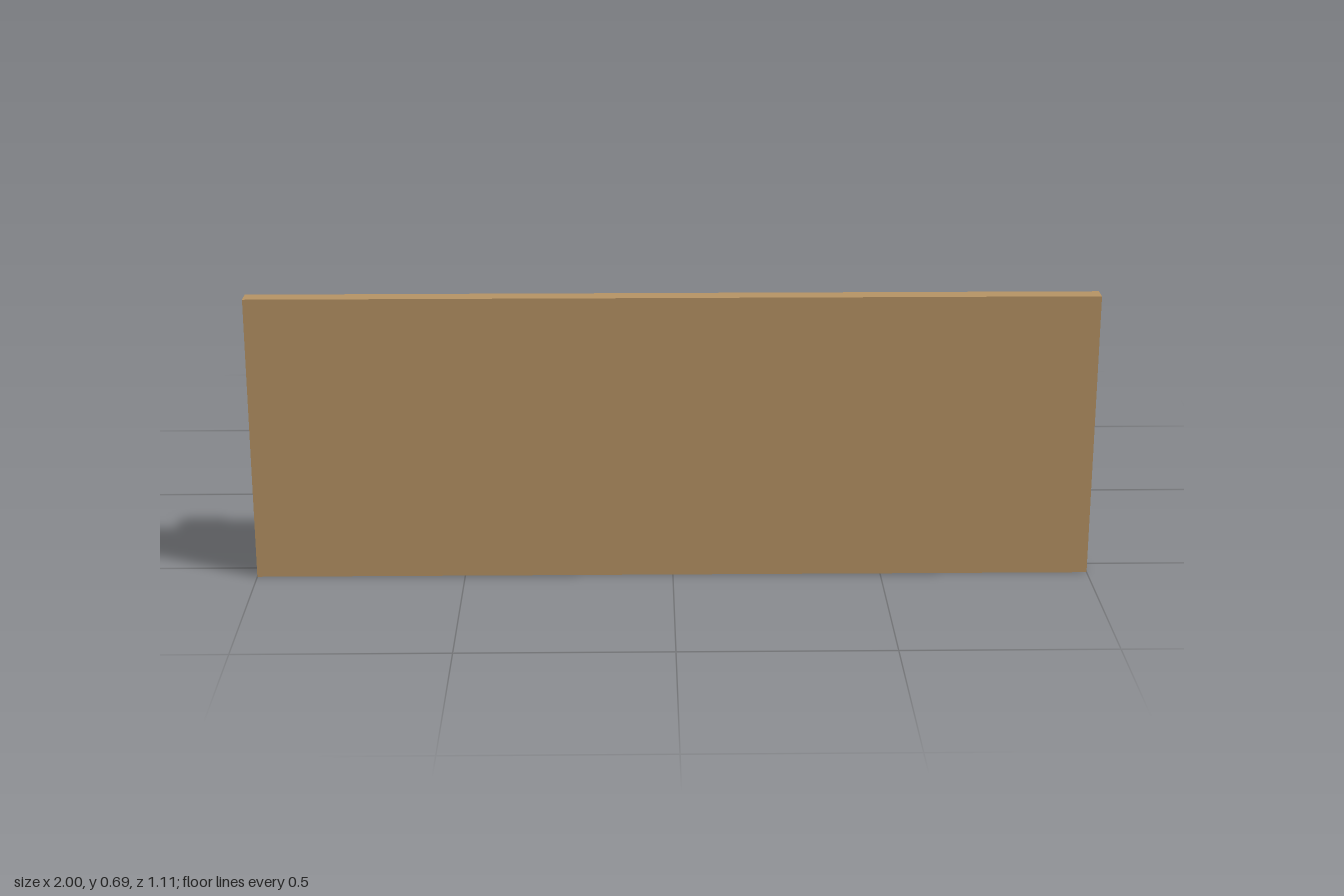
import * as THREE from 'three';
import { RoundedBoxGeometry } from 'three/addons/geometries/RoundedBoxGeometry.js';

const mat = (name, color) => {
  const m = new THREE.MeshStandardMaterial({ color });
  m.name = name;
  return m;
};

export function createModel() {
  const wood = mat('wood', 0xb69364);
  const grey = mat('greyFabric', 0x6b6e74);
  const linen = mat('linen', 0xd6d5cd);
  const teal = mat('tealFabric', 0x0f3f44);
  const metal = mat('metal', 0xa9abac);

  const root = new THREE.Group();
  root.name = 'twinBeds';

  const add = (parent, name, geometry, material, x, y, z) => {
    const mesh = new THREE.Mesh(geometry, material);
    mesh.name = name;
    mesh.position.set(x, y, z);
    parent.add(mesh);
  };

  // Box given by its x, y and z ranges; a radius makes it soft-edged
  const box = (parent, name, material, [x0, x1], [y0, y1], [z0, z1], radius = 0) => {
    const size = [x1 - x0, y1 - y0, z1 - z0];
    const geometry = radius
      ? new RoundedBoxGeometry(...size, 5, radius)
      : new THREE.BoxGeometry(...size);
    add(parent, name, geometry, material, (x0 + x1) / 2, (y0 + y1) / 2, (z0 + z1) / 2);
  };

  // Shared headboard with upholstered pad
  box(root, 'headboard', wood, [-1, 1], [0, 0.695], [0.513, 0.555]);
  box(root, 'headboardPad', grey, [-0.89, 0.89], [0.295, 0.668], [0.487, 0.517], 0.012);

  for (const side of [-1, 1]) {
    // Bed, centred on its own x axis
    const bed = new THREE.Group();
    bed.name = side > 0 ? 'leftBed' : 'rightBed';
    bed.position.x = side * 0.4;
    root.add(bed);
    box(bed, 'bedBase', grey, [-0.25, 0.25], [0.013, 0.173], [-0.552, 0.513]);
    box(bed, 'mattress', linen, [-0.25, 0.25], [0.173, 0.3], [-0.552, 0.513], 0.025);
    box(bed, 'duvet', linen, [-0.262, 0.262], [0.29, 0.332], [-0.555, 0.217], 0.016);
    box(bed, 'runner', teal, [-0.265, 0.265], [0.329, 0.345], [-0.526, -0.26], 0.004);
    box(bed, 'pillow', linen, [-0.187, 0.187], [0.306, 0.38], [0.254, 0.476], 0.034);

    // Nightstand with one raised drawer front
    const stand = new THREE.Group();
    stand.name = side > 0 ? 'leftNightstand' : 'rightNightstand';
    stand.position.x = side * 0.829;
    root.add(stand);
    box(stand, 'cabinet', wood, [-0.12, 0.12], [0, 0.267], [0.29, 0.503]);
    box(stand, 'drawerFront', wood, [-0.108, 0.108], [0.15, 0.24], [0.284, 0.291]);

    // Table lamp
    add(stand, 'lampPost', new THREE.CylinderGeometry(0.031, 0.031, 0.137, 16), metal, 0, 0.334, 0.406);
    add(stand, 'lampShade', new THREE.CylinderGeometry(0.046, 0.072, 0.108, 32), linen, 0, 0.456, 0.406);
  }
  return root;
}
